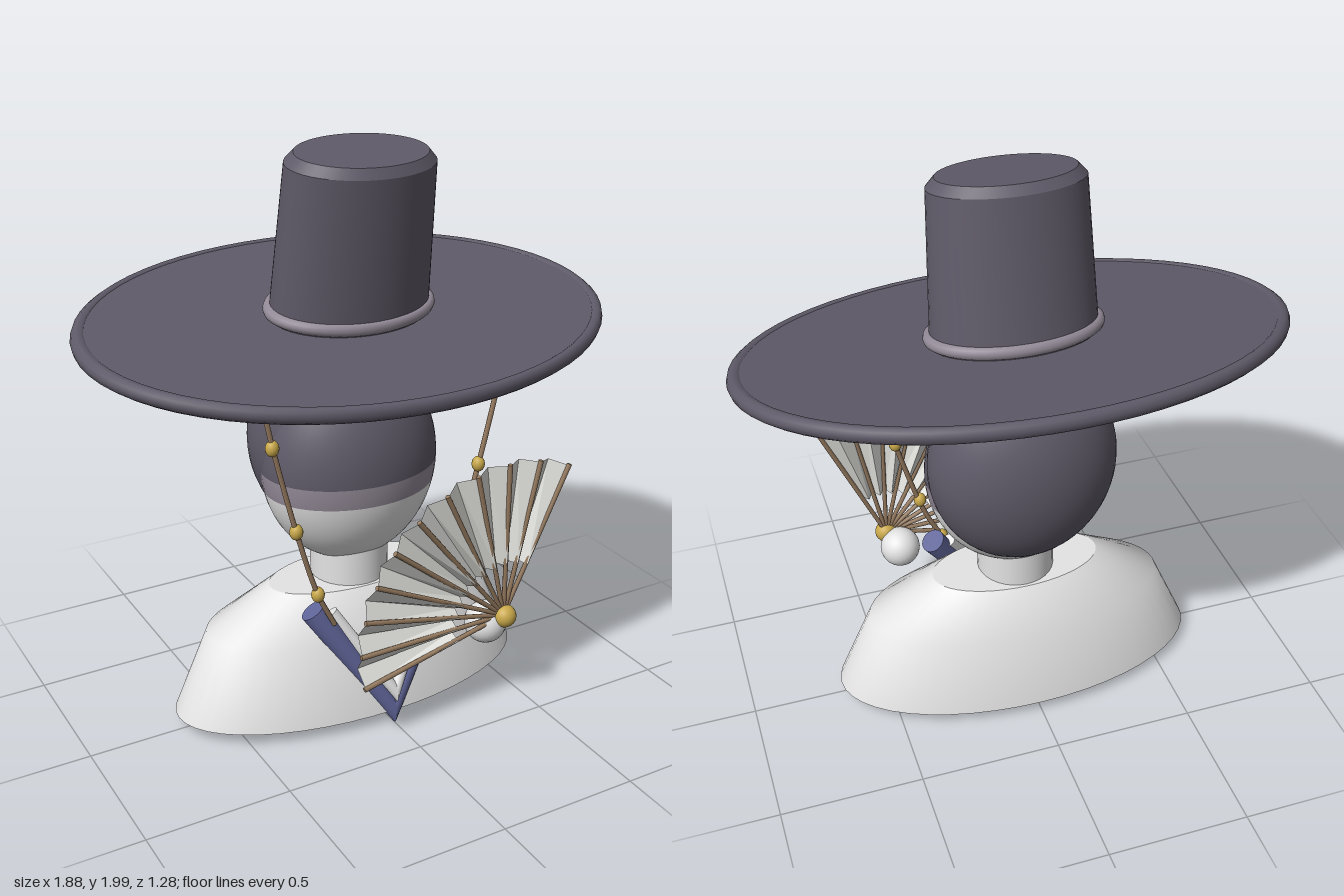
import * as THREE from 'three';

const mat = (name, color, side = THREE.FrontSide) => {
  const m = new THREE.MeshStandardMaterial({ color, side });
  m.name = name;
  return m;
};
const V = (x, y, z) => new THREE.Vector3(x, y, z);

export function createModel() {
  const model = new THREE.Group();
  model.name = 'hattedBust';
  const white = mat('white', 0xe4e4e4);
  const paper = mat('fanPaper', 0xdededa, THREE.DoubleSide);
  const dark = mat('charcoal', 0x5f5a68);
  const mauve = mat('mauveGrey', 0x948b98);
  const blue = mat('blueTrim', 0x61669a);
  const gold = mat('gold', 0xc8a84a);
  const brown = mat('brown', 0x957a5f);

  const add = (name, geo, material, parent = model) => {
    const mesh = new THREE.Mesh(geo, material);
    mesh.name = name;
    parent.add(mesh);
    return mesh;
  };
  const group = (name, parent = model) => {
    const g = new THREE.Group();
    g.name = name;
    parent.add(g);
    return g;
  };
  // Repeated points in a profile keep that edge sharp
  const lathe = (pts, segments = 48) =>
    new THREE.LatheGeometry(pts.map(([x, y]) => new THREE.Vector2(x, y)), segments);
  // Tapered cylinder between two points
  const rodGeometry = (a, b, ra, rb, sides = 8) => {
    const dir = b.clone().sub(a);
    const g = new THREE.CylinderGeometry(rb, ra, dir.length(), sides);
    g.applyQuaternion(new THREE.Quaternion().setFromUnitVectors(V(0, 1, 0), dir.normalize()));
    const mid = a.clone().add(b).multiplyScalar(0.5);
    return g.translate(mid.x, mid.y, mid.z);
  };

  // Oval shoulders and neck
  add('torso', lathe([[0, 0.05], [0.675, 0.05], [0.675, 0.05], [0.55, 0.33],
    [0.31, 0.465], [0.31, 0.465], [0, 0.465]]), white).scale.z = 0.48;
  add('neck', new THREE.CylinderGeometry(0.138, 0.138, 0.2, 32), white).position.set(0, 0.53, 0);

  // Head: one ellipsoid in three colour zones
  const head = group('head');
  head.position.y = 0.9;
  head.scale.set(0.32, 0.37, 0.25);
  const cuts = [0, 1.611, 1.816, Math.PI];
  [['forehead', dark], ['headband', mauve], ['face', white]].forEach(([name, m], i) =>
    add(name, new THREE.SphereGeometry(1, 48, 16, 0, Math.PI * 2, cuts[i], cuts[i + 1] - cuts[i]), m, head));
  const hair = add('hair', new THREE.SphereGeometry(1, 48, 32), dark);
  hair.position.set(0, 0.98, -0.08);
  hair.scale.set(0.33, 0.38, 0.245);

  // Tilted oval hat
  const tilt = group('hat');
  tilt.position.y = 1.405;
  tilt.rotation.x = 0.15;
  const hat = group('hatOval', tilt);
  hat.scale.z = 0.69;
  add('brim', new THREE.CylinderGeometry(0.91, 0.91, 0.044, 64), dark, hat);
  add('brimRim', new THREE.TorusGeometry(0.91, 0.028, 10, 64).rotateX(Math.PI / 2), dark, hat);
  add('crown', lathe([[0.285, 0], [0.26, 0.54], [0.26, 0.54], [0.23, 0.572],
    [0.23, 0.572], [0, 0.572]]), dark, hat);
  add('hatBand', new THREE.TorusGeometry(0.283, 0.022, 10, 48).rotateX(Math.PI / 2), mauve, hat)
    .position.y = 0.047;

  // Crossed collar: each half is mitred where it meets the middle
  const collarHalf = (name, bottom, top, rBottom, rTop, m) => {
    for (const side of [1, -1]) {
      const a = bottom.clone();
      const b = V(top.x * side, top.y, top.z);
      const dir = b.clone().sub(a);
      const g = rodGeometry(a, b, rBottom, rTop, 20);
      const p = g.attributes.position;
      for (let i = 0; i < p.count; i++) {
        const v = V(0, 0, 0).fromBufferAttribute(p, i);
        if (v.clone().sub(a).dot(dir) < 0.001) {
          v.addScaledVector(dir, -v.x / dir.x);
          p.setXYZ(i, v.x, v.y, v.z);
        }
      }
      add(name + (side > 0 ? 'Left' : 'Right'), g, m);
    }
  };
  collarHalf('collarTrim', V(0, 0.06, 0.312), V(0.255, 0.46, 0.205), 0.03, 0.045, blue);
  collarHalf('innerCollar', V(0, 0.135, 0.33), V(0.19, 0.44, 0.215), 0.02, 0.024, white);

  // Beaded hat cords
  const beads = { 1: [[0.44, 1.23], [0.363, 0.89], [0.283, 0.62], [0.205, 0.43]],
    '-1': [[0.42, 1.11], [0.34, 0.8], [0.263, 0.55]] };
  for (const side of [1, -1]) {
    const cord = group(side > 0 ? 'cordLeft' : 'cordRight');
    const path = new THREE.CatmullRomCurve3([[0.443, 1.23], [0.418, 1.11], [0.34, 0.8],
      [0.263, 0.55], [0.2, 0.42]].map(([x, y]) => V(x * side, y, 0.26)));
    add('cord', new THREE.TubeGeometry(path, 32, 0.009, 8), brown, cord);
    for (const [x, y] of beads[side]) {
      const bead = add('bead', new THREE.SphereGeometry(0.023, 16, 12), gold, cord);
      bead.position.set(x * side, y, 0.26);
      bead.scale.y = 1.2;
    }
  }

  // Hand holding the fan
  add('hand', new THREE.SphereGeometry(0.075, 24, 16), white).position.set(0.345, 0.33, 0.365);

  // Pleated fan with a rib on every forward fold
  const fan = group('fan');
  fan.position.set(0.385, 0.37, 0);
  const panels = 20;
  const start = THREE.MathUtils.degToRad(66);
  const sweep = THREE.MathUtils.degToRad(126);
  const at = (i, r, z) => {
    const t = start + sweep * i / panels;
    return V(Math.cos(t) * r, Math.sin(t) * r, z);
  };
  const fold = i => (i % 2 ? 0.392 : 0.432);
  const verts = [];
  for (let i = 0; i < panels; i++) {
    const a = at(i, 0.2, fold(i)), b = at(i, 0.575, fold(i));
    const c = at(i + 1, 0.575, fold(i + 1)), d = at(i + 1, 0.2, fold(i + 1));
    for (const v of [a, b, c, a, c, d]) verts.push(v.x, v.y, v.z);
  }
  const pleats = new THREE.BufferGeometry();
  pleats.setAttribute('position', new THREE.Float32BufferAttribute(verts, 3));
  pleats.computeVertexNormals();
  add('fanPleats', pleats, paper, fan);
  for (let i = 0; i <= panels; i += 2) {
    add('fanRib', rodGeometry(V(0, 0, 0.415), at(i, 0.58, 0.432), 0.008, 0.009), brown, fan);
  }
  add('fanPivot', new THREE.SphereGeometry(0.041, 24, 16), gold, fan).position.z = 0.423;

  return model;
}
